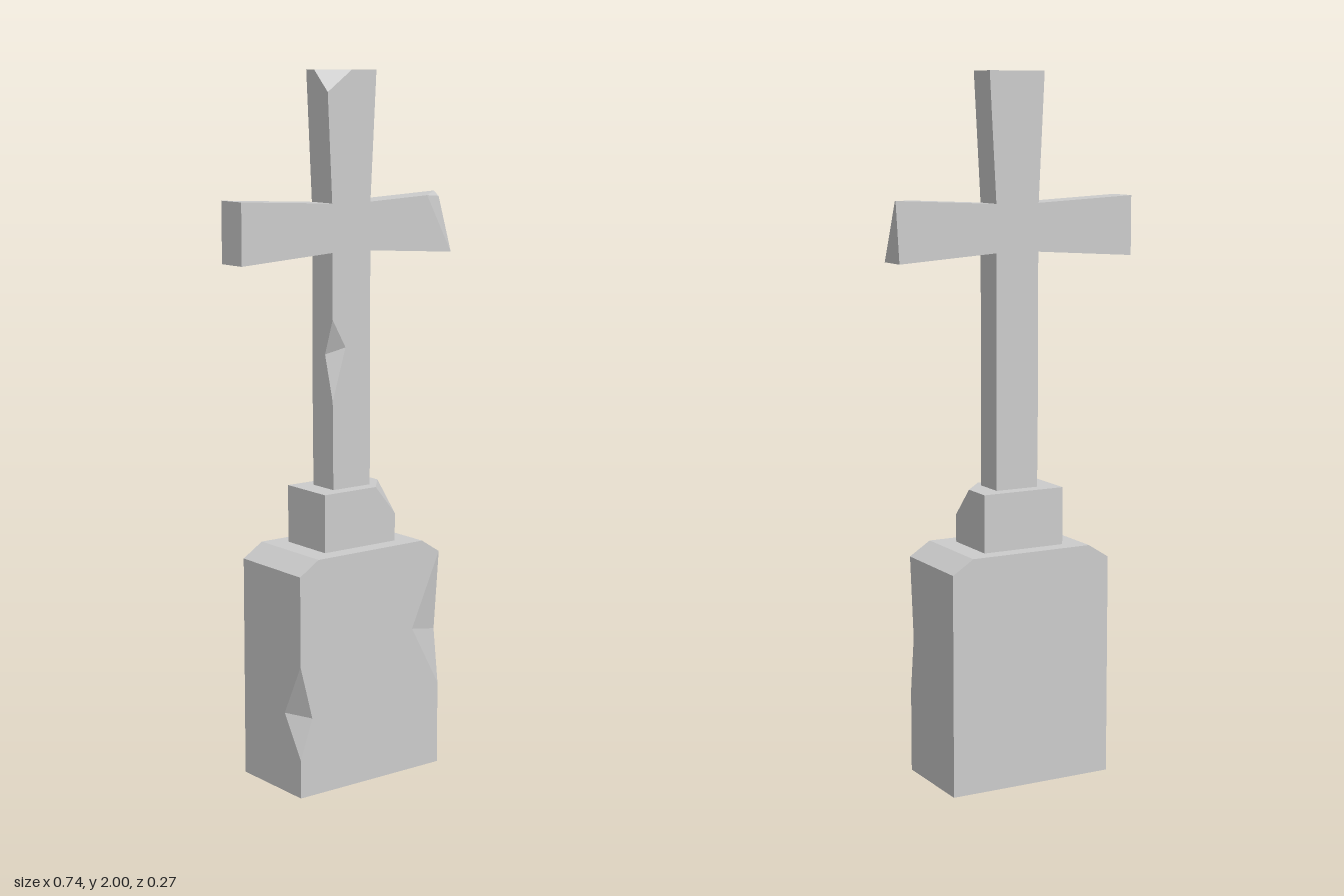
import * as THREE from 'three';

const material = new THREE.MeshStandardMaterial({ color: 0xcccccc, flatShading: true });

// A slab between two z planes with an outline counter-clockwise from the front.
// An outline point with a depth z is chipped back to that depth; its optional
// fourth entry is the deepest point of the chip, on or behind the front plane.
function chippedSlab(name, outline, zBack, zFront) {
  const positions = [];
  const face = (...pts) => {
    for (let i = 1; i < pts.length - 1; i++) positions.push(...pts[0], ...pts[i], ...pts[i + 1]);
  };
  const cap = (pts, flip) => {
    const tris = THREE.ShapeUtils.triangulateShape(pts.map(([x, y]) => new THREE.Vector2(x, y)), []);
    for (const [a, b, c] of tris) flip ? face(pts[a], pts[c], pts[b]) : face(pts[a], pts[b], pts[c]);
  };
  const n = outline.length;
  const rim = outline.map(([x, y, z = zFront]) => [x, y, z]);
  const back = outline.map(([x, y]) => [x, y, zBack]);
  const front = [];

  for (let i = 0; i < n; i++) {
    const next = (i + 1) % n;
    face(rim[i], back[i], back[next], rim[next]);
    const [, , depth, apex] = outline[i];
    if (depth === undefined) {
      front.push(rim[i]);
      continue;
    }
    // Broken facets around the chip
    const p = rim[(i + n - 1) % n], r = rim[i], q = rim[next];
    if (!apex) {
      face(p, r, q);
    } else {
      face(p, r, apex);
      face(r, q, apex);
      if (apex[2] === zFront) front.push(apex);
      else face(q, p, apex);
    }
  }
  cap(front, false);
  cap(back, true);

  const geometry = new THREE.BufferGeometry();
  geometry.setAttribute('position', new THREE.Float32BufferAttribute(positions, 3));
  geometry.computeVertexNormals();
  const mesh = new THREE.Mesh(geometry, material);
  mesh.name = name;
  return mesh;
}

export function createModel() {
  const group = new THREE.Group();
  group.name = 'stoneCrossMonument';

  // Pedestal with bevelled shoulders and two worn front edges
  group.add(chippedSlab('pedestal', [
    [-0.248, 0], [0.248, 0], [0.248, 0.24],
    [0.248, 0.4, 0.115, [0.15, 0.42, 0.135]],
    [0.248, 0.635], [0.185, 0.675], [-0.185, 0.675], [-0.248, 0.635],
    [-0.248, 0.38],
    [-0.248, 0.23, 0.06, [-0.208, 0.225, 0.135]],
    [-0.248, 0.11],
  ], -0.135, 0.135));

  // Small plinth with one broken corner
  group.add(chippedSlab('plinth', [
    [-0.125, 0.675], [0.125, 0.675], [0.125, 0.755],
    [0.125, 0.84, 0.005],
    [0.055, 0.84], [-0.125, 0.84],
  ], -0.088, 0.085));

  // Flared cross: broken right arm tip, broken top corner, nicked shaft
  group.add(chippedSlab('cross', [
    [-0.065, 0.84], [0.065, 0.84], [0.065, 1.505], [0.36, 1.485],
    [0.37, 1.655, -0.044, [0.327, 1.645, 0.028]],
    [0.27, 1.65], [0.065, 1.64], [0.085, 2], [0, 2],
    [-0.086, 2, -0.012],
    [-0.083, 1.94], [-0.068, 1.64], [-0.37, 1.655], [-0.37, 1.485], [-0.067, 1.505],
    [-0.067, 1.32],
    [-0.067, 1.22, 0.01, [-0.022, 1.24, 0.045]],
    [-0.067, 1.09],
  ], -0.048, 0.045));

  return group;
}
